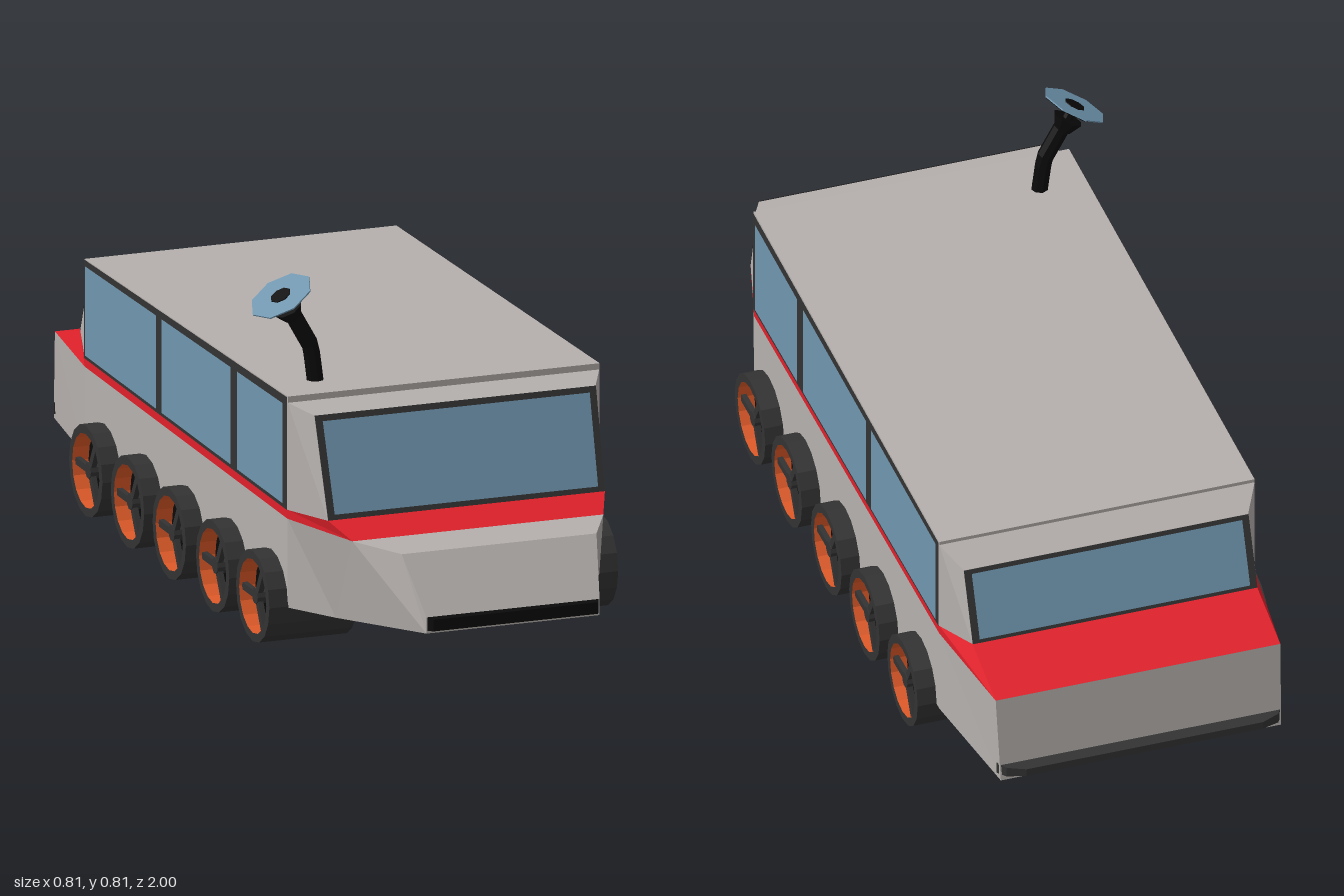
import * as THREE from 'three';

const GREY = 0xb5b0ad, RED = 0xe0202a, GLASS = 0x6f95ae, BLACK = 0x0a0a0a, DARK = 0x333333, ORANGE = 0xe05a28;

function mesh(name, geo, color, side = THREE.FrontSide) {
  const m = new THREE.Mesh(geo, new THREE.MeshStandardMaterial({ color, flatShading: true, side }));
  m.name = name;
  return m;
}

function fromTriangles(points) {
  const g = new THREE.BufferGeometry();
  g.setAttribute('position', new THREE.Float32BufferAttribute(points.flat(), 3));
  g.computeVertexNormals();
  return g;
}

// Mirrored loft; each section is [top, bottom] on the +x side, listed front to rear.
// walls: 0 = left, 1 = underside, 2 = right, 3 = top
function loft(sections, walls = [0, 1, 2, 3], caps = true) {
  const rings = sections.map(([t, b]) => [t, b, [-b[0], b[1], b[2]], [-t[0], t[1], t[2]]]);
  const tris = [];
  const quad = (a, b, c, d) => tris.push(a, b, c, a, c, d);
  for (let i = 0; i + 1 < rings.length; i++) {
    for (const k of walls) {
      const n = (k + 1) % 4;
      quad(rings[i][k], rings[i][n], rings[i + 1][n], rings[i + 1][k]);
    }
  }
  if (caps) {
    const f = rings[0], r = rings[rings.length - 1];
    quad(f[0], f[3], f[2], f[1]);
    quad(r[0], r[1], r[2], r[3]);
  }
  return fromTriangles(tris);
}

// Flat panel covering part of a four-cornered face, lifted off it
function panel([a, b, c, d], u0, u1, v0, v1, lift) {
  const [A, B, C, D] = [a, b, c, d].map(p => new THREE.Vector3(...p));
  const n = B.clone().sub(A).cross(D.clone().sub(A)).normalize().multiplyScalar(lift);
  const at = (u, v) => A.clone().lerp(B, u).lerp(D.clone().lerp(C, u), v).add(n).toArray();
  const p = [at(u0, v0), at(u1, v0), at(u1, v1), at(u0, v1)];
  return fromTriangles([p[0], p[1], p[2], p[0], p[2], p[3]]);
}

const mirrorFace = f => [f[1], f[0], f[3], f[2]].map(p => [-p[0], p[1], p[2]]);

function makeWheel() {
  const g = new THREE.Group();
  const lathe = (pts, n = 16) => {
    const l = new THREE.LatheGeometry(pts.map(p => new THREE.Vector2(...p)), n);
    return l.rotateZ(-Math.PI / 2);
  };
  g.add(mesh('tyre', lathe([[0, 0], [0.102, 0], [0.102, 0.203], [0.083, 0.203]]), DARK, THREE.DoubleSide));
  g.add(mesh('rimWall', lathe([[0.083, 0.203], [0.083, 0.165]]), ORANGE, THREE.DoubleSide));
  g.add(mesh('wheelDisc', lathe([[0.083, 0.165], [0, 0.165]]), BLACK, THREE.DoubleSide));
  g.add(mesh('hub', lathe([[0, 0.165], [0.018, 0.165], [0.018, 0.198], [0, 0.198]], 10), DARK, THREE.DoubleSide));
  for (let i = 0; i < 3; i++) {
    const spoke = new THREE.BoxGeometry(0.012, 0.016, 0.08).translate(0.19, 0, 0.044);
    spoke.rotateX(i * Math.PI * 2 / 3);
    g.add(mesh('spoke', spoke, DARK));
  }
  return g;
}

function makeAntenna() {
  const g = new THREE.Group();
  g.name = 'antenna';
  const v = (x, y) => new THREE.Vector3(x, y, 0.45);
  const path = new THREE.CurvePath();
  path.add(new THREE.LineCurve3(v(-0.254, 0.565), v(-0.265, 0.65)));
  path.add(new THREE.LineCurve3(v(-0.265, 0.65), v(-0.312, 0.735)));
  g.add(mesh('mast', new THREE.TubeGeometry(path, 8, 0.019, 8), BLACK));

  // Parts along the tilted mast axis
  const head = new THREE.Group();
  head.name = 'antennaHead';
  head.position.copy(v(-0.312, 0.73));
  head.quaternion.setFromUnitVectors(new THREE.Vector3(0, 1, 0), new THREE.Vector3(-0.5, 0.86, 0.11).normalize());
  const add = (name, r1, r2, h, y, color, n = 8) =>
    head.add(mesh(name, new THREE.CylinderGeometry(r1, r2, h, n).translate(0, y, 0), color));
  add('collar', 0.035, 0.019, 0.03, 0, BLACK);
  add('feed', 0.012, 0.012, 0.05, 0.025, BLACK);
  add('dishBack', 0.073, 0.068, 0.003, 0.044, BLACK);
  add('dish', 0.074, 0.074, 0.003, 0.047, GLASS);
  add('dishCentre', 0.024, 0.024, 0.002, 0.0495, BLACK);
  g.add(head);
  return g;
}

export function createModel() {
  const model = new THREE.Group();
  model.name = 'roverBus';

  // Lower hull with tapered nose and tail
  const hull = [
    [[0.2, 0.178, 0.985], [0.2, 0.142, 0.985]],
    [[0.225, 0.3, 0.9], [0.2, 0.142, 0.985]],
    [[0.29, 0.3, 0.77], [0.29, 0.1, 0.67]],
    [[0.36, 0.3, 0.56], [0.36, 0.1, 0.56]],
    [[0.36, 0.3, -0.68], [0.36, 0.1, -0.68]],
    [[0.325, 0.3, -0.955], [0.32, 0.1, -0.975]],
  ];
  model.add(mesh('hull', loft(hull, [0, 2, 3]), GREY));
  model.add(mesh('underside', loft(hull, [1], false), BLACK));

  // Cabin and the red skirt that joins it to the hull
  const cabin = [
    [[0.325, 0.548, 0.63], [0.32, 0.33, 0.70]],
    [[0.36, 0.562, 0.56], [0.36, 0.32, 0.56]],
    [[0.36, 0.535, -0.68], [0.36, 0.32, -0.68]],
    [[0.325, 0.50, -0.74], [0.325, 0.345, -0.80]],
  ];
  const beltLine = [hull[2][0], hull[3][0], hull[4][0], hull[5][0]];
  model.add(mesh('cabin', loft(cabin), GREY));
  model.add(mesh('skirt', loft(cabin.map((s, i) => [s[1], beltLine[i]])), RED));

  // Roof slab
  const roof = [
    [[0.36, 0.576, 0.562], [0.36, 0.562, 0.562]],
    [[0.36, 0.543, -0.68], [0.36, 0.535, -0.68]],
  ];
  model.add(mesh('roof', loft(roof), GREY));

  // Side windows, roof edges
  const sideFace = [cabin[1][1], cabin[2][1], cabin[2][0], cabin[1][0]];
  const edgeFace = [roof[0][1], roof[1][1], roof[1][0], roof[0][0]];
  const panes = [[0.016, 0.242], [0.274, 0.613], [0.641, 0.99]];
  for (const s of [1, -1]) {
    const orient = f => (s > 0 ? f : mirrorFace(f));
    const face = orient(sideFace);
    model.add(mesh('sideWindowFrame', panel(face, 0, 1, 0, 1, 0.002), DARK, THREE.DoubleSide));
    model.add(mesh('roofEdge', panel(orient(edgeFace), 0, 1, 0, 0.9, 0.002), DARK, THREE.DoubleSide));
    for (const [a, b] of panes) {
      const [u0, u1] = s > 0 ? [a, b] : [1 - b, 1 - a];
      model.add(mesh('sideWindow', panel(face, u0, u1, 0.04, 0.975, 0.004), GLASS, THREE.DoubleSide));
    }
  }

  // Windscreen and rear window
  const flip = p => [-p[0], p[1], p[2]];
  const [ft, fb] = cabin[0], [rt, rb] = cabin[3];
  const ends = {
    windscreen: [flip(fb), fb, ft, flip(ft)],
    rearWindow: [rb, flip(rb), flip(rt), rt],
  };
  for (const [name, face] of Object.entries(ends)) {
    model.add(mesh(name + 'Frame', panel(face, 0, 1, 0, 1, 0.002), DARK, THREE.DoubleSide));
    model.add(mesh(name, panel(face, 0.025, 0.975, 0.05, 0.94, 0.004), GLASS, THREE.DoubleSide));
  }

  // Bumpers
  model.add(mesh('frontBumper', loft([
    [[0.19, 0.176, 1.0], [0.19, 0.15, 1.0]],
    [[0.203, 0.18, 0.975], [0.203, 0.147, 0.975]],
  ]), BLACK));
  model.add(mesh('rearBumper', loft([
    [[0.325, 0.138, -0.96], [0.325, 0.112, -0.96]],
    [[0.31, 0.138, -0.985], [0.31, 0.115, -0.985]],
    [[0.27, 0.135, -1.0], [0.27, 0.118, -1.0]],
  ]), DARK));

  // Five wheels on each side
  for (const z of [0.46, 0.215, -0.05, -0.305, -0.56]) {
    for (const s of [1, -1]) {
      const wheel = makeWheel();
      wheel.name = s > 0 ? 'leftWheel' : 'rightWheel';
      wheel.position.set(s * 0.2, 0.103, z);
      if (s < 0) wheel.rotation.y = Math.PI;
      model.add(wheel);
    }
  }

  model.add(makeAntenna());
  return model;
}
